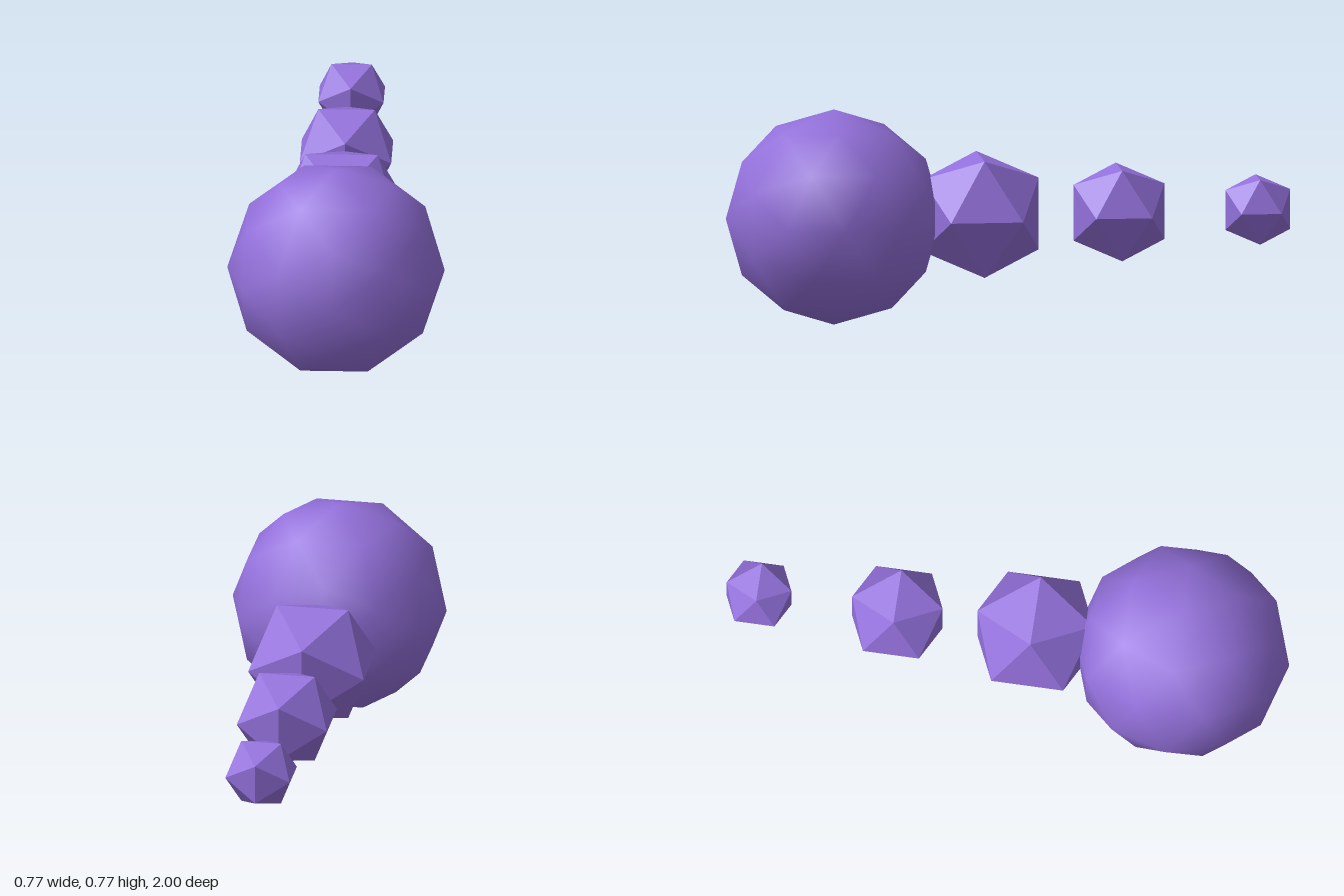
import * as THREE from 'three';

export function createModel() {
  const group = new THREE.Group();
  const purple = new THREE.MeshStandardMaterial({ color: 0x9370db });
  purple.name = 'purple';

  // A ball with its centre on the common axis; detail 0 is faceted, detail 1 has smooth normals
  const addBall = (name, radius, z, detail) => {
    const mesh = new THREE.Mesh(new THREE.IcosahedronGeometry(radius, detail), purple);
    mesh.name = name;
    mesh.position.set(0, 0.383, z);
    group.add(mesh);
  };

  // Large rounded head at the front
  addBall('head', 0.383, 0.617, 1);

  // Faceted body segments shrinking towards the tail
  [[0.243, 0.098], [0.189, -0.393], [0.135, -0.885]].forEach(([radius, z], i) => {
    addBall(`bodySegment${i + 1}`, radius, z, 0);
  });

  return group;
}
